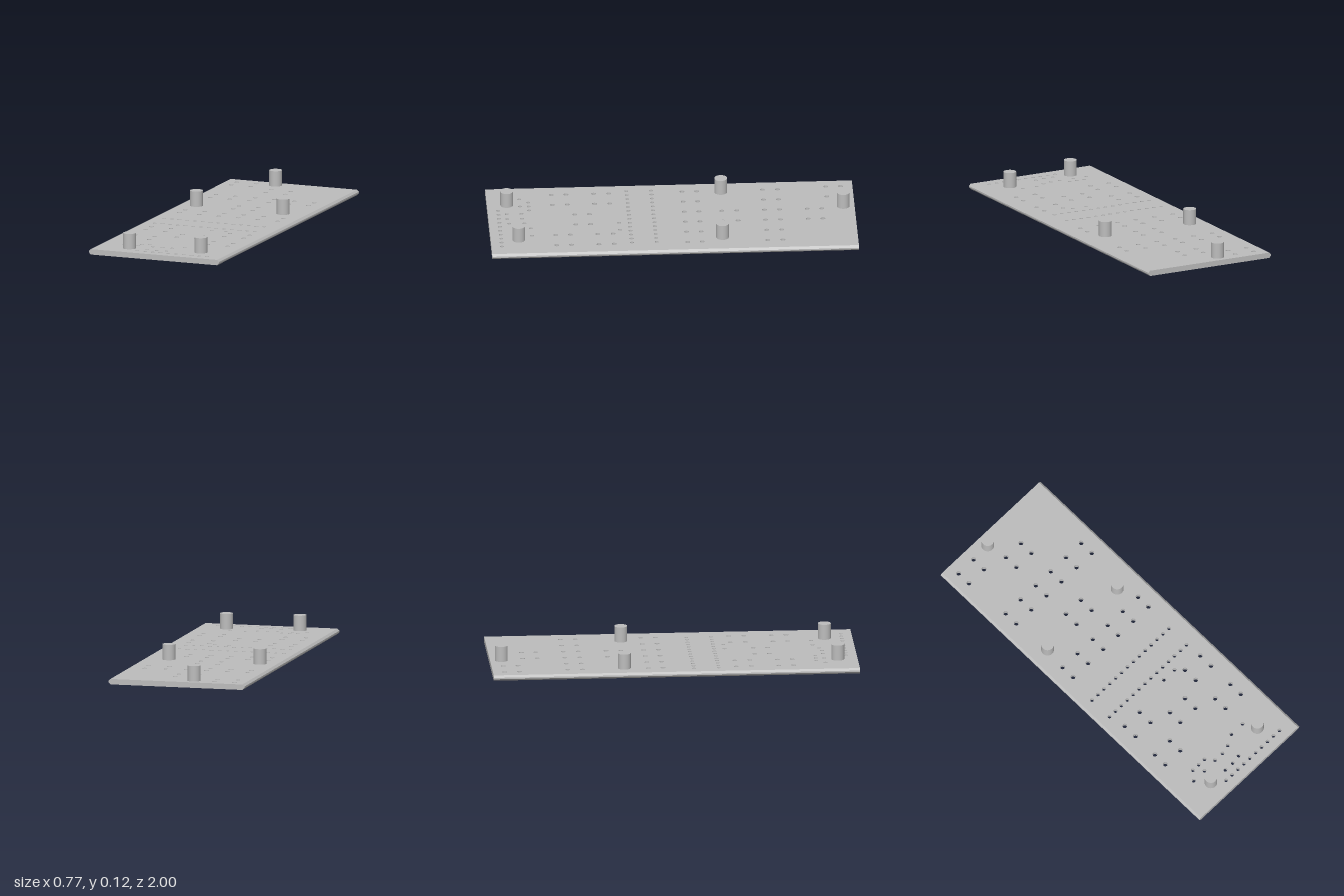
import * as THREE from 'three';

const HALF_W = 0.383, CHAMFER = 0.011, THICK = 0.03, GROOVE = 0.014;
const BIG = 0.013, SMALL = 0.0105;

// Every combination of the given x and z positions
const grid = (xs, zs) => zs.flatMap((z) => xs.map((x) => [x, z]));
// Evenly spaced row of pin positions
const row = (x0, x1, n, z) => Array.from({ length: n }, (_, i) => [x0 + ((x1 - x0) * i) / (n - 1), z]);

const SIX = [-0.291, -0.176, -0.06, 0.055, 0.171, 0.288];
const INNER = [-0.06, 0.055];
const OUTER = [-0.291, -0.176, 0.171, 0.288];

const bigHoles = [
  ...grid([-0.31, -0.195], [-0.935, -0.855]),
  ...grid(INNER, [-0.82, -0.74, -0.357, -0.275, 0.447, 0.527]),
  ...grid(SIX, [-0.59, -0.508, -0.15, -0.07]),
  ...grid(OUTER, [0.33, 0.413, 0.563, 0.643]),
];
const smallHoles = [
  ...row(-0.312, 0.278, 14, 0.098),
  ...row(-0.312, 0.278, 14, 0.233),
  ...row(-0.209, -0.119, 3, 0.773),
  ...row(-0.122, 0.288, 10, 0.942),
];
// Hole pairs joined by a groove on the underside
const pairs = [
  [[0.048, 0.29], [0.13, 0.29]],
  [[0.087, 0.773], [0.172, 0.773]],
  [[-0.249, 0.82], [-0.167, 0.82]],
  [[-0.082, 0.817], [-0.082, 0.897]],
  [[-0.026, 0.817], [-0.026, 0.897]],
  [[0.027, 0.805], [0.027, 0.889]],
];

function round([x, z], r) {
  return new THREE.Path().absarc(x, -z, r, 0, Math.PI * 2, true);
}

// Slot with round ends around a pair of holes
function slot([[x0, z0], [x1, z1]], r) {
  const a = Math.atan2(z0 - z1, x1 - x0), q = Math.PI / 2;
  const p = new THREE.Path();
  p.absarc(x1, -z1, r, a - q, a + q, false);
  p.absarc(x0, -z0, r, a + q, a + 3 * q, false);
  p.closePath();
  return p;
}

// Flat layer of the board from y0 to y1
function layer(holes, y0, y1) {
  const w = HALF_W - CHAMFER;
  const s = new THREE.Shape([[-w, -1], [w, -1], [w, 1], [-w, 1]].map(([x, y]) => new THREE.Vector2(x, y)));
  s.holes.push(...holes);
  const g = new THREE.ExtrudeGeometry(s, { depth: y1 - y0, bevelEnabled: false, curveSegments: 8 });
  return g.rotateX(-Math.PI / 2).translate(0, y0, 0);
}

export function createModel() {
  const model = new THREE.Group();
  const grey = new THREE.MeshStandardMaterial({ color: 0xbcbcbc });
  grey.name = 'plain grey';
  const add = (geometry, name) => {
    const m = new THREE.Mesh(geometry, grey);
    m.name = name;
    model.add(m);
    return m;
  };

  // Board: upper layer with round holes, lower layer with the grooves
  const through = [...bigHoles.map((p) => round(p, BIG)), ...smallHoles.map((p) => round(p, SMALL))];
  const ends = pairs.flat().map((p) => round(p, SMALL));
  add(layer([...through, ...ends], GROOVE, THICK), 'boardTop');
  add(layer([...through, ...pairs.map((p) => slot(p, SMALL))], 0, GROOVE), 'boardUnderside');

  // Chamfered long edges
  const edge = new THREE.Shape([
    [0, 0], [CHAMFER, CHAMFER], [CHAMFER, THICK - CHAMFER], [0, THICK],
  ].map(([x, y]) => new THREE.Vector2(x, y)));
  for (const side of [1, -1]) {
    const g = new THREE.ExtrudeGeometry(edge, { depth: 2, bevelEnabled: false });
    g.translate(HALF_W - CHAMFER, 0, -1);
    if (side < 0) g.rotateY(Math.PI);
    add(g, side > 0 ? 'leftEdge' : 'rightEdge');
  }

  // Support pegs
  const pegs = [[-0.083, -0.938], [-0.278, -0.28], [0.24, -0.263], [-0.189, 0.892], [0.213, 0.847]];
  const pegGeometry = new THREE.CylinderGeometry(0.035, 0.035, 0.085, 40);
  for (const [x, z] of pegs) add(pegGeometry, 'peg').position.set(x, THICK + 0.0425, z);

  return model;
}
